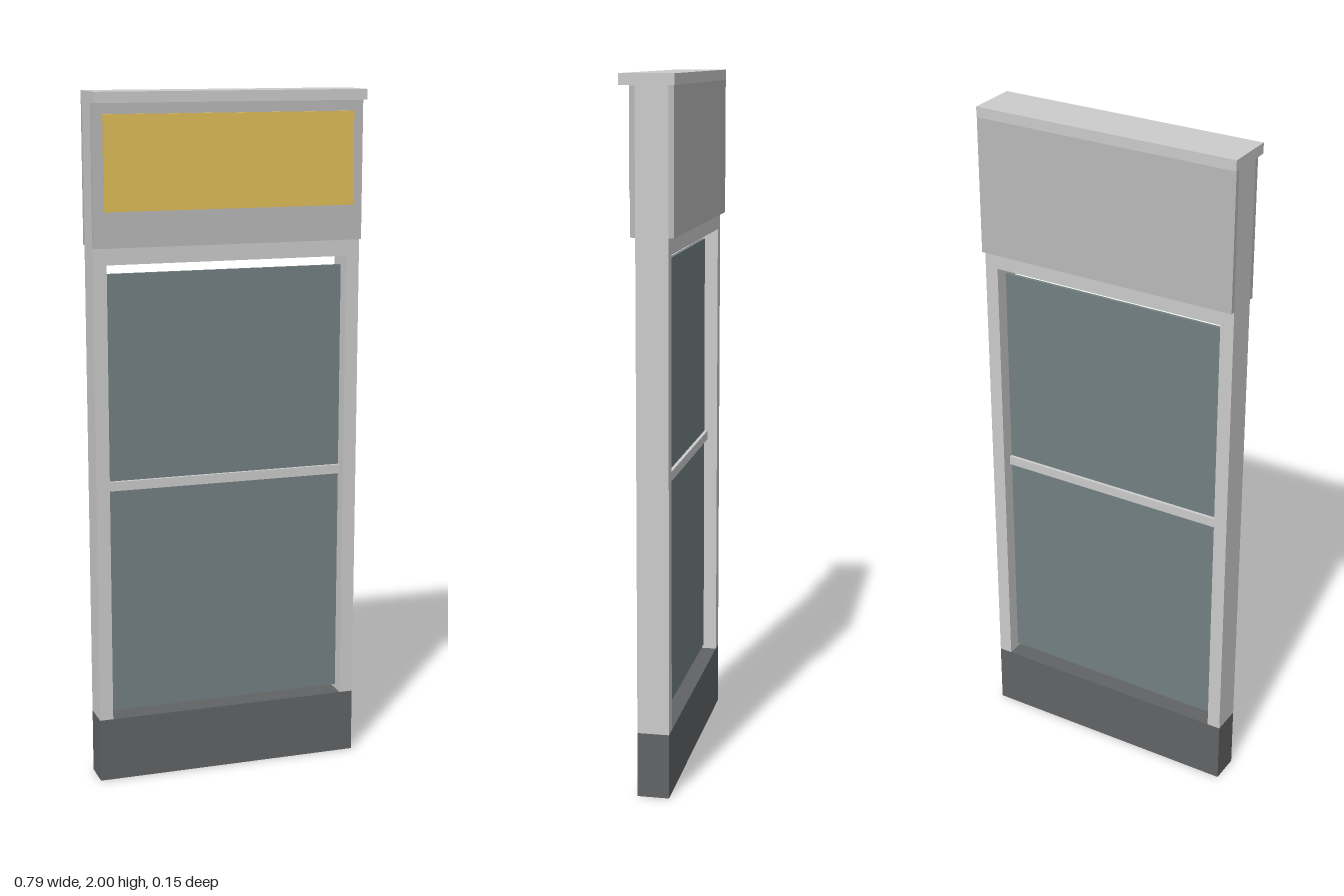
import * as THREE from 'three';

const grey = new THREE.MeshStandardMaterial({ color: 0xcccccc });
const panelGrey = new THREE.MeshStandardMaterial({ color: 0xb9b9b9 });
const baseGrey = new THREE.MeshStandardMaterial({ color: 0x626365 });
const glass = new THREE.MeshStandardMaterial({ color: 0x738082 });
const yellow = new THREE.MeshStandardMaterial({ color: 0xdebd58 });

const W = 0.397;              // half width
const OPEN = 0.357;           // half width of the opening
const BACK = -0.059, FRONT = 0.031; // frame depth

// Box given by its extents, centred on x = 0
function slab(name, halfWidth, y0, y1, z0, z1, material) {
  const mesh = new THREE.Mesh(new THREE.BoxGeometry(halfWidth * 2, y1 - y0, z1 - z0), material);
  mesh.position.set(0, (y0 + y1) / 2, (z0 + z1) / 2);
  mesh.name = name;
  return mesh;
}

export function createModel() {
  const group = new THREE.Group();
  group.name = 'glazedPanel';

  // Plinth
  group.add(slab('base', W, 0, 0.188, BACK, FRONT, baseGrey));

  // Frame: one upright-and-header piece, open at the bottom
  const outline = new THREE.Shape([
    [-W, 0.188], [-OPEN, 0.188], [-OPEN, 1.525], [OPEN, 1.525],
    [OPEN, 0.188], [W, 0.188], [W, 1.97], [-W, 1.97],
  ].map(([x, y]) => new THREE.Vector2(x, y)));
  const frame = new THREE.Mesh(
    new THREE.ExtrudeGeometry(outline, { depth: FRONT - BACK, bevelEnabled: false }), grey);
  frame.position.z = BACK;
  frame.name = 'frame';
  group.add(frame);

  // Glazing with a crossbar
  group.add(slab('glassPane', OPEN, 0.2, 1.495, -0.019, -0.009, glass));
  group.add(slab('crossbar', OPEN, 0.87, 0.897, -0.029, 0.001, grey));

  // Fascia boards, coloured sign board and cap
  group.add(slab('frontFascia', W, 1.573, 1.97, FRONT, 0.045, panelGrey));
  group.add(slab('backFascia', W, 1.573, 1.97, -0.074, BACK, panelGrey));
  group.add(slab('signBoard', 0.367, 1.674, 1.939, 0.045, 0.053, yellow));
  group.add(slab('cap', W, 1.97, 2, -0.075, 0.075, grey));

  return group;
}
